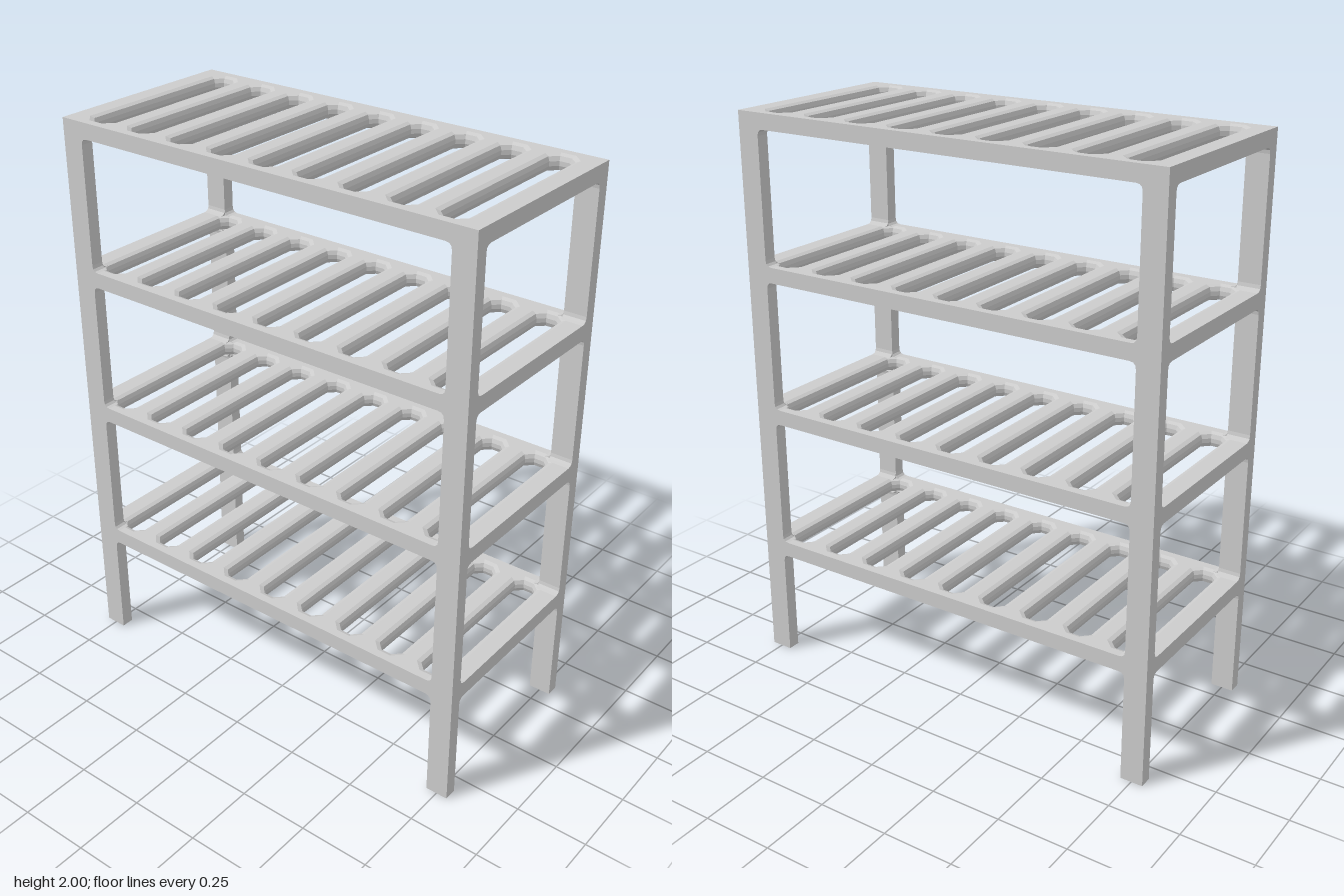
import * as THREE from 'three';

const HALF_X = 0.79, HALF_Z = 0.355;   // footprint
const LEG_X = 0.08, LEG_Z = 0.045;     // leg section
const THICK = 0.055, PITCH = 0.517, SHELVES = 4;
const FILLET = 0.022;

const material = new THREE.MeshStandardMaterial({ color: 0xcccccc, flatShading: true });

function part(name, geometry, x, y, z) {
  const mesh = new THREE.Mesh(geometry, material);
  mesh.name = name;
  mesh.position.set(x, y, z);
  return mesh;
}

// Rectangle with cut corners, centred on cx
function slotPath(cx, hw, hl, c) {
  const pts = [
    [hw, -hl + c], [hw, hl - c], [hw - c, hl], [-hw + c, hl],
    [-hw, hl - c], [-hw, -hl + c], [-hw + c, -hl], [hw - c, -hl],
  ];
  return new THREE.Path(pts.map(([x, y]) => new THREE.Vector2(cx + x, y)));
}

// Slotted board: slots have rounded rims, the outer edge stays square
function shelfGeometry() {
  const rim = 0.02, slots = 9, spacing = 0.1675;
  const shape = new THREE.Shape([
    new THREE.Vector2(-HALF_X, -HALF_Z), new THREE.Vector2(HALF_X, -HALF_Z),
    new THREE.Vector2(HALF_X, HALF_Z), new THREE.Vector2(-HALF_X, HALF_Z),
  ]);
  for (let i = 0; i < slots; i++) {
    shape.holes.push(slotPath((i - (slots - 1) / 2) * spacing, 0.06, 0.326, 0.034));
  }
  const geo = new THREE.ExtrudeGeometry(shape, {
    depth: THICK - 2 * rim, bevelEnabled: true,
    bevelSize: rim, bevelThickness: rim, bevelSegments: 2,
  });
  geo.translate(0, 0, rim - THICK / 2);
  // Snap the bevelled outer corners back to the square outline
  const p = geo.attributes.position;
  for (let i = 0; i < p.count; i++) {
    if (Math.abs(p.getX(i)) > 0.76 && Math.abs(p.getY(i)) > 0.34) {
      p.setXY(i, Math.sign(p.getX(i)) * HALF_X, Math.sign(p.getY(i)) * HALF_Z);
    }
  }
  geo.rotateX(-Math.PI / 2);
  geo.computeVertexNormals();
  return geo;
}

// Concave corner filler, pointing along sx and sy, centred on its depth
function filletGeometry(sx, sy, depth) {
  const s = new THREE.Shape();
  s.moveTo(0, 0);
  s.lineTo(sx * FILLET, 0);
  s.quadraticCurveTo(0, 0, 0, sy * FILLET);
  const geo = new THREE.ExtrudeGeometry(s, { depth, bevelEnabled: false, curveSegments: 3 });
  return geo.translate(0, 0, -depth / 2);
}

export function createModel() {
  const model = new THREE.Group();
  model.name = 'slattedShelfRack';

  const board = shelfGeometry();
  for (let i = 0; i < SHELVES; i++) {
    const top = 2 - (SHELVES - 1 - i) * PITCH;
    const bottom = top - THICK;
    model.add(part('shelf', board, 0, top - THICK / 2, 0));

    // Leg sections under this shelf, with fillets where they meet the boards
    const base = i === 0 ? 0 : top - PITCH;
    for (const sx of [-1, 1]) {
      for (const sz of [-1, 1]) {
        const leg = new THREE.Group();
        leg.name = 'leg';
        const x = sx * (HALF_X - LEG_X / 2), z = sz * (HALF_Z - LEG_Z / 2);
        leg.add(part('legPost', new THREE.BoxGeometry(LEG_X, bottom - base, LEG_Z),
          x, (base + bottom) / 2, z));
        const ends = i === 0 ? [[bottom, -1]] : [[bottom, -1], [base, 1]];
        for (const [y, sy] of ends) {
          leg.add(part('longFillet', filletGeometry(-sx, sy, LEG_Z), sx * (HALF_X - LEG_X), y, z));
          const side = filletGeometry(-sz, sy, LEG_X).rotateY(-Math.PI / 2);
          leg.add(part('sideFillet', side, x, y, sz * (HALF_Z - LEG_Z)));
        }
        model.add(leg);
      }
    }
  }
  return model;
}
